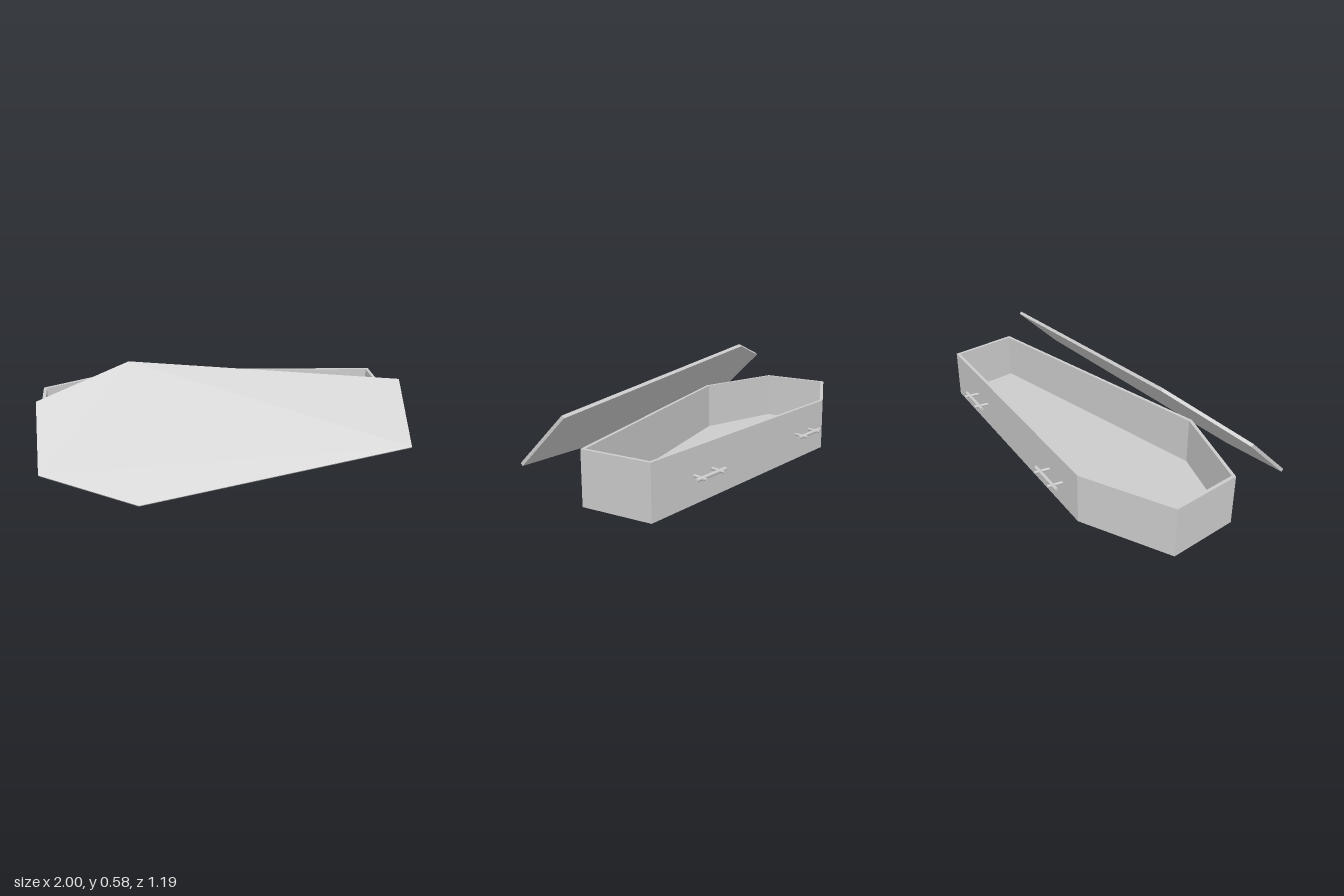
import * as THREE from 'three';

const HEIGHT = 0.29, WALL = 0.018, BODY_Z = -0.135;
const TAPER = Math.atan(0.2 / 1.5); // angle of the long side walls

// Six-sided plan, mirrored about its long axis: end, shoulder, foot as [x, half width]
function outline(points, Type = THREE.Shape) {
  const mirrored = [...points].reverse().map(([x, w]) => [x, w]);
  const loop = [...points.map(([x, w]) => [x, -w]), ...mirrored];
  return new Type(loop.map(([x, y]) => new THREE.Vector2(x, y)));
}

const OUTER = [[-1, 0.2], [-0.5, 0.4], [1, 0.2]];
const INNER = [[-0.982, 0.188], [-0.498, 0.3815], [0.982, 0.184]];

const slab = (shape, depth) => new THREE.ExtrudeGeometry(shape, { depth, bevelEnabled: false });

export function createModel() {
  const model = new THREE.Group();
  const material = new THREE.MeshStandardMaterial({ color: 0xcccccc });

  function add(parent, name, geometry) {
    const mesh = new THREE.Mesh(geometry, material);
    mesh.name = name;
    parent.add(mesh);
    return mesh;
  }

  // Open box: hollow walls and a floor set between them
  const box = new THREE.Group();
  box.name = 'box';
  box.position.z = BODY_Z;
  model.add(box);
  const wallShape = outline(OUTER);
  wallShape.holes.push(outline(INNER, THREE.Path));
  add(box, 'walls', slab(wallShape, HEIGHT).rotateX(-Math.PI / 2));
  add(box, 'floor', slab(outline(INNER), 0.02).rotateX(-Math.PI / 2));

  // Lid leaning at 45 degrees against the front
  const lid = add(model, 'lid', slab(outline(OUTER), WALL).translate(0, 0, -WALL / 2));
  lid.rotation.x = -Math.PI / 4;
  lid.position.set(0, 0.2895, 0.306);

  // Handles: a bar along the wall carried by two slanted posts
  const barGeometry = new THREE.CylinderGeometry(0.01, 0.01, 0.226, 12).rotateZ(Math.PI / 2);
  const postGeometry = new THREE.CylinderGeometry(0.008, 0.008, 0.09, 12)
    .rotateX(Math.PI / 2).translate(0, 0, -0.015);
  for (const side of [1, -1]) {
    for (const x of [-0.262, 0.642]) {
      const handle = new THREE.Group();
      handle.name = (side > 0 ? 'front' : 'back') + (x < 0 ? 'Shoulder' : 'Foot') + 'Handle';
      const halfWidth = 0.4 - (x + 0.5) * Math.tan(TAPER);
      handle.position.set(x, 0.147, side * (halfWidth + 0.054));
      handle.rotation.y = side > 0 ? TAPER : Math.PI - TAPER;
      add(handle, 'bar', barGeometry);
      for (const offset of [-0.07, 0.07]) {
        const post = add(handle, 'post', postGeometry);
        post.position.x = offset;
        post.rotation.y = side * TAPER;
      }
      box.add(handle);
    }
  }
  return model;
}
